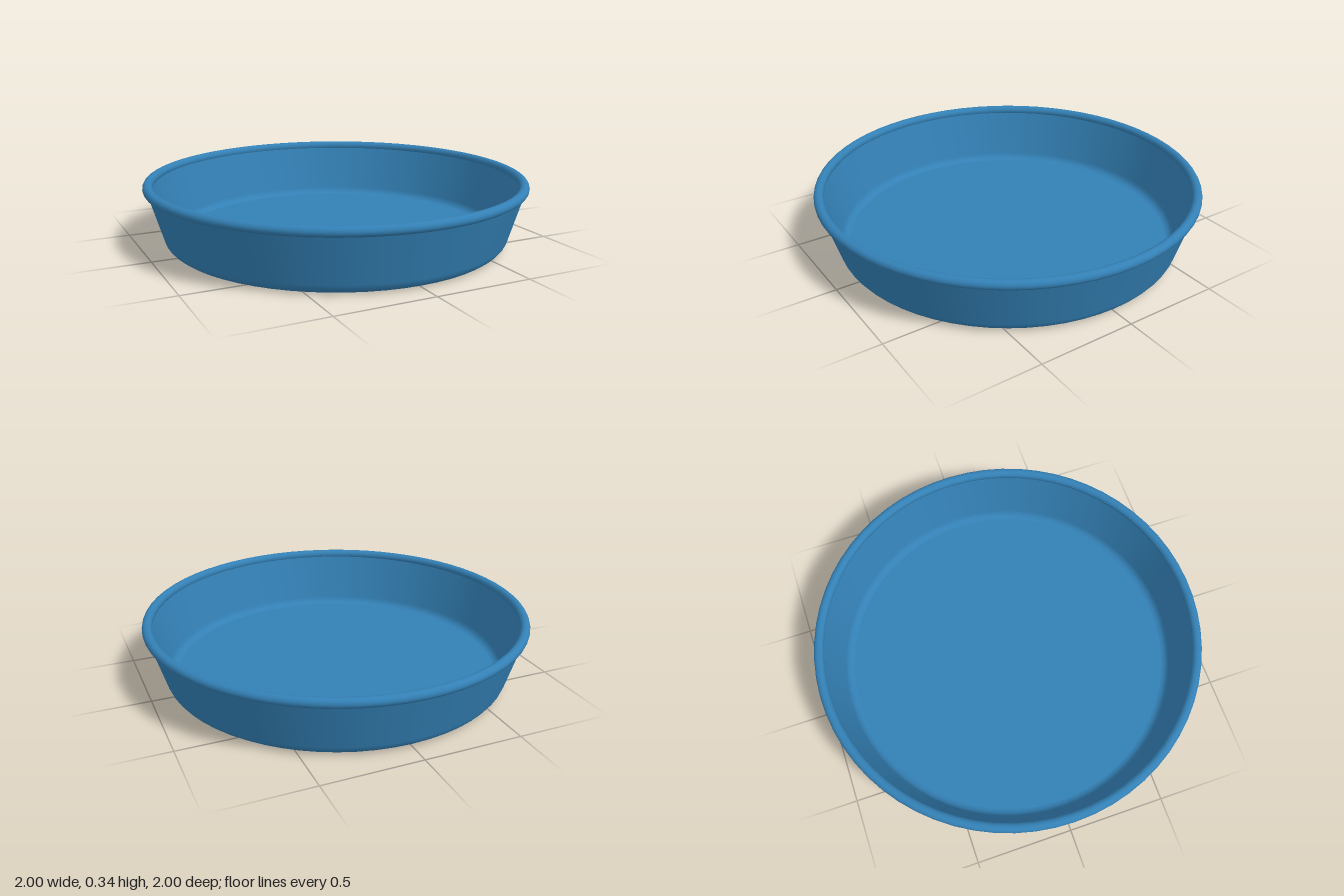
import * as THREE from 'three';

const SEGMENTS = 64;

export function createModel() {
  const group = new THREE.Group();
  group.name = 'roundPan';
  const material = new THREE.MeshStandardMaterial({ color: 0x3380b5 });

  // Each part turns its own [radius, height] profile, so the joins stay crisp
  const turn = (name, profile) => {
    const points = profile.map(([r, y]) => new THREE.Vector2(r, y));
    const mesh = new THREE.Mesh(new THREE.LatheGeometry(points, SEGMENTS), material);
    mesh.name = name;
    group.add(mesh);
  };

  // Points on a circular arc, angles in degrees
  const arc = (cx, cy, radius, from, to, steps) =>
    Array.from({ length: steps + 1 }, (_, i) => {
      const a = THREE.MathUtils.degToRad(from + ((to - from) * i) / steps);
      return [cx + radius * Math.cos(a), cy + radius * Math.sin(a)];
    });

  // Flat underside
  turn('underside', [[0, 0], [0.85, 0]]);

  // Flared outer wall with a rounded foot
  turn('outerWall', [[0.85, 0], [0.872, 0.008], [0.888, 0.02], [0.899, 0.034], [0.906, 0.052], [0.978, 0.295]]);

  // Rolled lip around the top
  turn('rim', arc(0.975, 0.315, 0.025, -90, 210, 16));

  // Inner wall, fillet and floor
  turn('innerWall', [[0.955, 0.305], [0.883, 0.06], [0.877, 0.046], [0.868, 0.035], [0.857, 0.028], [0.845, 0.025]]);
  turn('floor', [[0.845, 0.025], [0, 0.025]]);

  return group;
}
